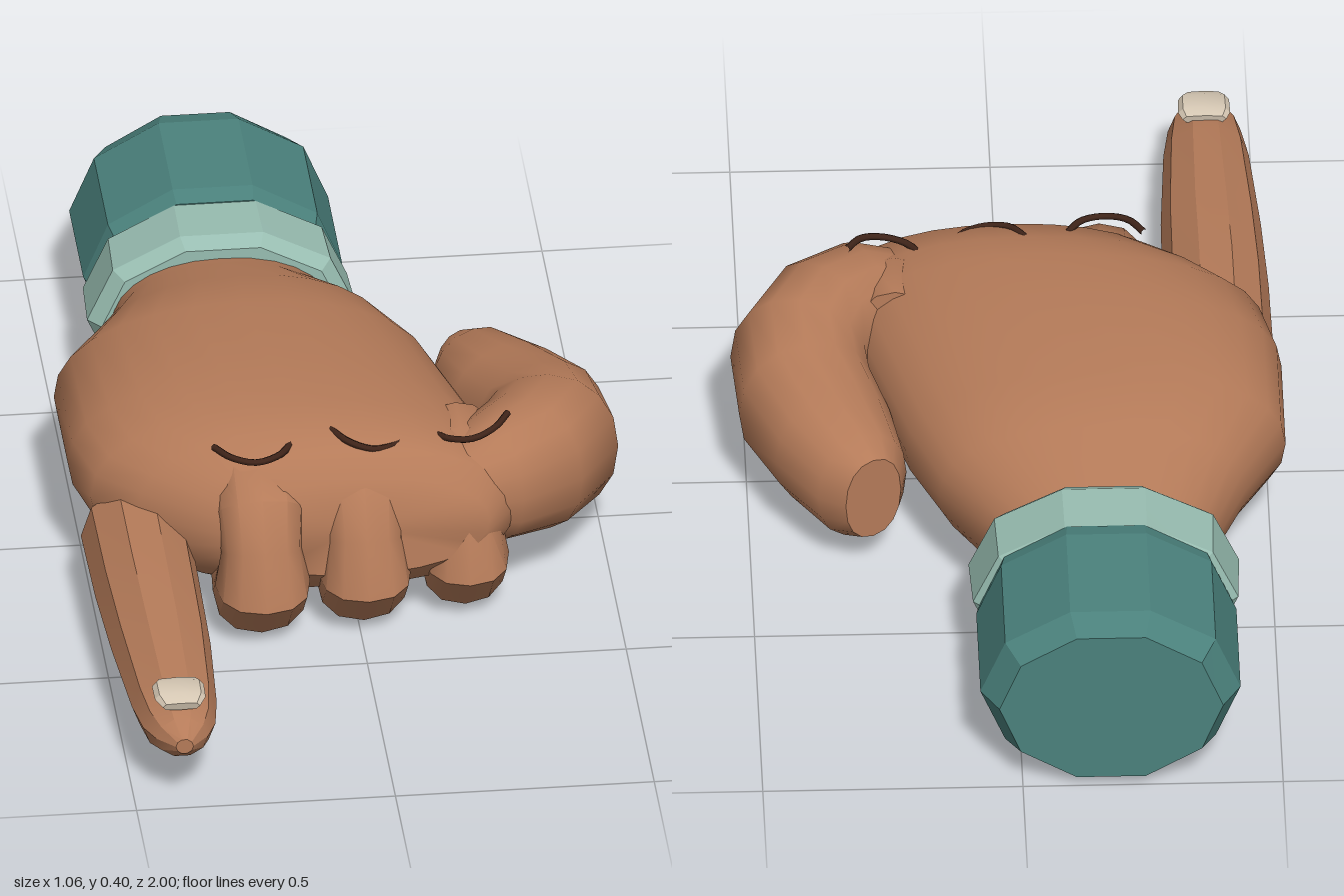
import * as THREE from 'three';
import { toCreasedNormals } from 'three/addons/utils/BufferGeometryUtils.js';

const mat = (name, color) => Object.assign(new THREE.MeshStandardMaterial({ color }), { name });

// Closed sweep through rings [x, y, z, halfWidth, halfHeight].
// turn: rings follow the path sideways (up stays y); otherwise they bend up and down (side stays x).
function sweep(rings, { sides = 10, turn = false, power = 2, crease = 0.5 } = {}) {
  const pos = [], index = [], n = sides, last = rings.length - 1;
  const at = (k) => new THREE.Vector3(...rings[k].slice(0, 3));
  rings.forEach((r, k) => {
    const t = at(Math.min(k + 1, last)).sub(at(Math.max(k - 1, 0))).normalize();
    const side = new THREE.Vector3(1, 0, 0), up = new THREE.Vector3(0, 1, 0);
    if (turn) side.crossVectors(up, t).normalize();
    else up.crossVectors(t, side).normalize();
    for (let i = 0; i < n; i++) {
      const a = (i / n) * Math.PI * 2;
      const soft = (v) => Math.sign(v) * Math.abs(v) ** (2 / power);
      const p = at(k).addScaledVector(side, soft(Math.cos(a)) * r[3]).addScaledVector(up, soft(Math.sin(a)) * r[4]);
      pos.push(p.x, p.y, p.z);
    }
  });
  const c0 = pos.length / 3;
  pos.push(...at(0).toArray(), ...at(last).toArray());
  for (let i = 0; i < n; i++) {
    const j = (i + 1) % n;
    for (let k = 0; k < last; k++) {
      const a = k * n + i, b = k * n + j;
      index.push(a, b, a + n, b, b + n, a + n);
    }
    index.push(c0, j, i, c0 + 1, last * n + i, last * n + j);
  }
  const g = new THREE.BufferGeometry();
  g.setAttribute('position', new THREE.Float32BufferAttribute(pos, 3));
  g.setIndex(index);
  return toCreasedNormals(g, crease);
}

// Ring from its extents: z, x range, y range
const span = ([z, x0, x1, y0, y1]) => [(x0 + x1) / 2, (y0 + y1) / 2, z, (x1 - x0) / 2, (y1 - y0) / 2];

export function createModel() {
  const group = new THREE.Group();
  const skin = mat('skin', 0xb57b59), teal = mat('sleeve teal', 0x4b827d);
  const pale = mat('cuff pale green', 0x98bdb1), cream = mat('nail cream', 0xd6c8b4);
  const dark = mat('crease brown', 0x40251a);
  const add = (name, geo, material) => {
    const m = new THREE.Mesh(geo, material);
    m.name = name;
    group.add(m);
    return m;
  };

  // Sleeve and cuff: ten-sided, flattened
  const cuffRing = ([z, w, h]) => [-0.17, 0.185, z, w, h / Math.sin(Math.PI * 0.4)];
  add('sleeve', sweep([[-1, 0.215, 0.165], [-0.94, 0.25, 0.185], [-0.69, 0.25, 0.185], [-0.65, 0.24, 0.175]].map(cuffRing),
    { crease: 0.2 }), teal);
  add('cuffBand', sweep([[-0.67, 0.235, 0.165], [-0.65, 0.255, 0.173], [-0.53, 0.26, 0.175], [-0.5, 0.235, 0.158]].map(cuffRing),
    { crease: 0.2 }), pale);

  // Back of the hand and palm
  add('palm', sweep([
    [-0.56, -0.38, 0.03, 0.05, 0.31], [-0.46, -0.39, 0.05, 0.04, 0.33], [-0.33, -0.45, 0.14, 0.03, 0.375],
    [-0.2, -0.53, 0.2, 0.03, 0.4], [0.05, -0.53, 0.27, 0.03, 0.4], [0.18, -0.5, 0.31, 0.03, 0.4],
    [0.26, -0.42, 0.31, 0.05, 0.39], [0.33, -0.33, 0.3, 0.08, 0.37], [0.375, -0.26, 0.25, 0.13, 0.33],
  ].map(span), { sides: 28, power: 2.2, crease: 0.8 }), skin);

  // Three curled fingers
  [[-0.19, 0.01, 0.092], [0.01, -0.015, 0.09], [0.21, -0.055, 0.083]].forEach(([x, dz, w], i) => {
    const path = [[0.28, 0.18, 0.8], [0.275, 0.27, 0.95], [0.25, 0.325, 0.95], [0.19, 0.36, 0.85],
      [0.125, 0.375, 1], [0.09, 0.335, 1], [0.088, 0.27, 0.95], [0.1, 0.16, 0.8]];
    add('curledFinger' + (i + 1),
      sweep(path.map(([y, z, s]) => [x, y, z + dz, w * s, 0.088 * s]), { sides: 12, power: 2.3, crease: 0.7 }), skin);
  });

  // Thumb folded across the side
  add('thumb', sweep([
    [0.265, 0.17, -0.29, 0.06, 0.09], [0.285, 0.172, -0.25, 0.095, 0.113], [0.335, 0.185, -0.14, 0.125, 0.125],
    [0.385, 0.2, -0.02, 0.135, 0.14], [0.395, 0.22, 0.08, 0.135, 0.152], [0.345, 0.238, 0.175, 0.125, 0.142],
    [0.265, 0.245, 0.24, 0.11, 0.125], [0.18, 0.24, 0.27, 0.08, 0.09],
  ], { sides: 16, turn: true, power: 2.2, crease: 0.8 }), skin);

  // Pointing finger with a rounded tip
  add('indexFinger', sweep([
    [-0.415, 0.135, 0.19, 0.105, 0.105], [-0.415, 0.135, 0.42, 0.102, 0.1], [-0.412, 0.136, 0.62, 0.096, 0.086],
    [-0.41, 0.137, 0.84, 0.082, 0.07], [-0.409, 0.137, 0.92, 0.07, 0.06], [-0.408, 0.137, 0.965, 0.05, 0.043],
    [-0.407, 0.137, 1, 0.017, 0.016],
  ], { crease: 0.45 }), skin);

  // Fingernail
  add('fingernail', sweep([
    [-0.408, 0.203, 0.868, 0.042, 0.01], [-0.408, 0.206, 0.885, 0.05, 0.013],
    [-0.408, 0.204, 0.93, 0.049, 0.013], [-0.408, 0.198, 0.952, 0.036, 0.009],
  ], { sides: 8, power: 3.5, crease: 0.4 }), cream);

  // Knuckle creases: thin arcs lying on the back of the hand
  [[-0.198, 0.28, 0.371, 0.369], [0.03, 0.255, 0.382, 0.36], [0.225, 0.23, 0.352, 0.381]].forEach(([x, z, yL, yR], i) => {
    const mid = (yL + yR) / 2;
    const curve = new THREE.CatmullRomCurve3([
      new THREE.Vector3(x - 0.075, yL, z), new THREE.Vector3(x - 0.045, mid + (yL - mid) * 0.6, z + 0.043),
      new THREE.Vector3(x, mid - 0.003, z + 0.06),
      new THREE.Vector3(x + 0.045, mid + (yR - mid) * 0.6, z + 0.043), new THREE.Vector3(x + 0.075, yR, z),
    ]);
    add('knuckleCrease' + (i + 1), new THREE.TubeGeometry(curve, 14, 0.007, 6), dark);
  });

  return group;
}
